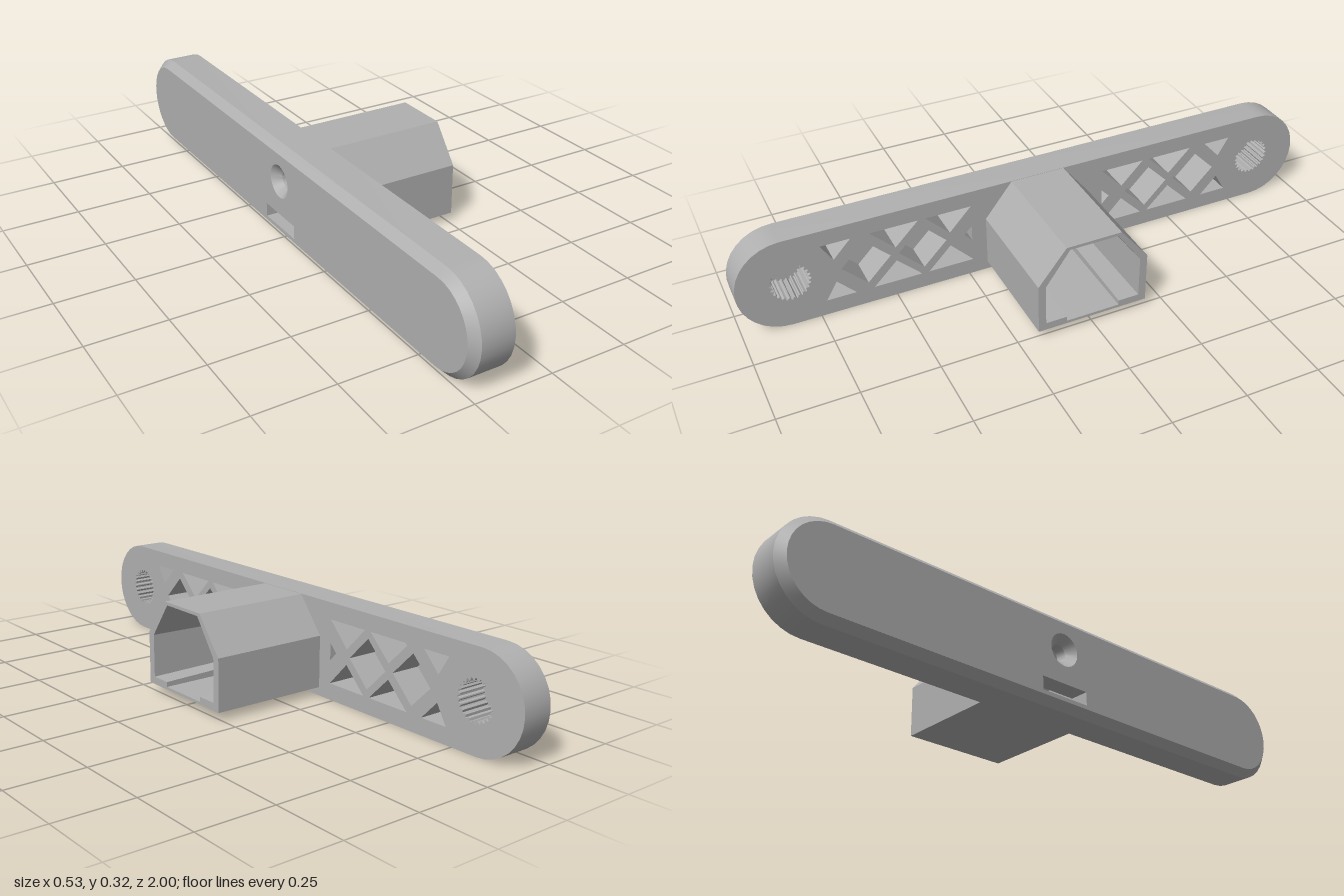
import * as THREE from 'three';
import { toCreasedNormals } from 'three/addons/utils/BufferGeometryUtils.js';

// Profiles are drawn as [u, v] = [-z, y] and swept along x.
const X_BACK = -0.263, X_BEVEL = -0.238, X_WALL = -0.2, X_FACE = -0.133, X_MOUTH = 0.263;
const MID = 0.158;

const toVec = (pts) => pts.map(([u, v]) => new THREE.Vector2(u, v));

function makeShape(outline, holes = []) {
  const s = new THREE.Shape(toVec(outline));
  s.holes = holes.map((h) => new THREE.Path(toVec(h)));
  return s;
}

function ring(cu, cv, n, radius, start = 0, sweep = Math.PI * 2) {
  return Array.from({ length: n }, (_, i) => {
    const a = start + (i / n) * sweep;
    const r = typeof radius === 'function' ? radius(i) : radius;
    return [cu + r * Math.cos(a), cv + r * Math.sin(a)];
  });
}

// Rounded bar outline, counter-clockwise
function stadium(r) {
  const n = 16, c = 0.842;
  const right = ring(c, MID, n, r, -Math.PI / 2, Math.PI);
  right.push([c, MID + r]);
  return [...right, ...right.map(([u, v]) => [-u, 2 * MID - v])];
}

// Skin between two matching outlines
function loft(a, xa, b, xb) {
  const pos = [];
  a.forEach((p, i) => {
    const j = (i + 1) % a.length;
    const A = [...p, xa], B = [...a[j], xa], C = [...b[j], xb], D = [...b[i], xb];
    pos.push(...A, ...B, ...C, ...A, ...C, ...D);
  });
  const g = new THREE.BufferGeometry();
  g.setAttribute('position', new THREE.Float32BufferAttribute(pos, 3));
  g.computeVertexNormals();
  return g;
}

function slab(shape, x0, x1) {
  return new THREE.ExtrudeGeometry(shape, { depth: x1 - x0, bevelEnabled: false }).translate(0, 0, x0);
}

function sheet(shape, x) {
  return new THREE.ShapeGeometry(shape).translate(0, 0, x);
}

// House-shaped cavity with a shallow groove in its floor
function cavity(w, top, topW, shoulder, floor) {
  return [[-w, floor], [-0.09, floor], [-0.09, 0.037], [0.09, 0.037], [0.09, floor],
    [w, floor], [w, shoulder], [topW, top], [-topW, top], [-w, shoulder]];
}

export function createModel() {
  const model = new THREE.Group();
  model.name = 'wallBracket';
  const grey = new THREE.MeshStandardMaterial({ color: 0xb0b0b0, side: THREE.DoubleSide });
  grey.name = 'grey plastic';

  function add(name, geo) {
    const mesh = new THREE.Mesh(toCreasedNormals(geo.rotateY(Math.PI / 2), 0.45), grey);
    mesh.name = name;
    model.add(mesh);
  }

  const mirror = (pts) => pts.map(([u, v]) => [-u, v]);
  const flip = (pts) => pts.map(([u, v]) => [u, 2 * MID - v]);

  // Truss pockets for one arm
  const diamond = (c) => ring(c, MID, 4, 0.08);
  const triangles = [
    [[0.727, 0.262], [0.631, 0.262], [0.69, 0.2]],
    [[0.572, 0.262], [0.412, 0.262], [0.492, 0.183]],
    [[0.388, 0.262], [0.235, 0.262], [0.31, 0.183]],
  ];
  const arm = [
    diamond(0.59), diamond(0.403),
    [[0.262, MID], [0.235, 0.186], [0.235, 0.13]],
    ...triangles, ...triangles.map(flip),
    // Ribbed round pocket at the end
    ring(0.83, 0.16, 96, (i) => (i % 4 < 2 ? 0.065 : 0.058)),
  ];
  const pockets = [...arm, ...arm.map(mirror)];

  const mouth = cavity(0.16, 0.305, 0.08, 0.192, 0.053);
  const deep = cavity(0.148, 0.294, 0.074, 0.188, 0.064);
  const slot = [[-0.09, 0.038], [0.09, 0.038], [0.09, 0.083], [-0.09, 0.083]];
  const screw = ring(0, 0.198, 24, 0.028);
  const sink = ring(0, 0.198, 24, 0.055);

  // Bar with pockets, bevelled towards its back face
  const full = stadium(0.158), inset = stadium(0.133);
  add('bar', slab(makeShape(full, [...pockets, mouth]), X_BEVEL, X_FACE));
  add('barBevel', loft(inset, X_BACK, full, X_BEVEL));
  add('barBack', loft([...slot].reverse(), X_BACK, [...slot].reverse(), X_WALL));
  add('backFace', sheet(makeShape([...inset].reverse(), [sink, slot]), X_BACK).scale(1, 1, 1));
  add('pocketFloor', sheet(makeShape(full, [sink, slot]), X_BEVEL));

  // Screw hole with countersink
  add('countersink', loft([...sink].reverse(), X_BACK, [...screw].reverse(), X_BEVEL + 0.002));
  add('screwHole', loft([...screw].reverse(), X_BEVEL + 0.002, [...screw].reverse(), X_WALL));
  add('socketEndWall', sheet(makeShape(mouth, [screw, slot]), X_WALL));

  // Hollow socket
  const outer = [[-0.185, 0.028], [0.185, 0.028], [0.185, 0.198], [0.092, 0.315],
    [-0.092, 0.315], [-0.185, 0.198]];
  add('socketShell', loft(outer, X_FACE, outer, X_MOUTH));
  add('socketLining', loft([...deep].reverse(), X_WALL, [...mouth].reverse(), X_MOUTH));
  add('socketRim', sheet(makeShape(outer, [mouth]), X_MOUTH));

  return model;
}
